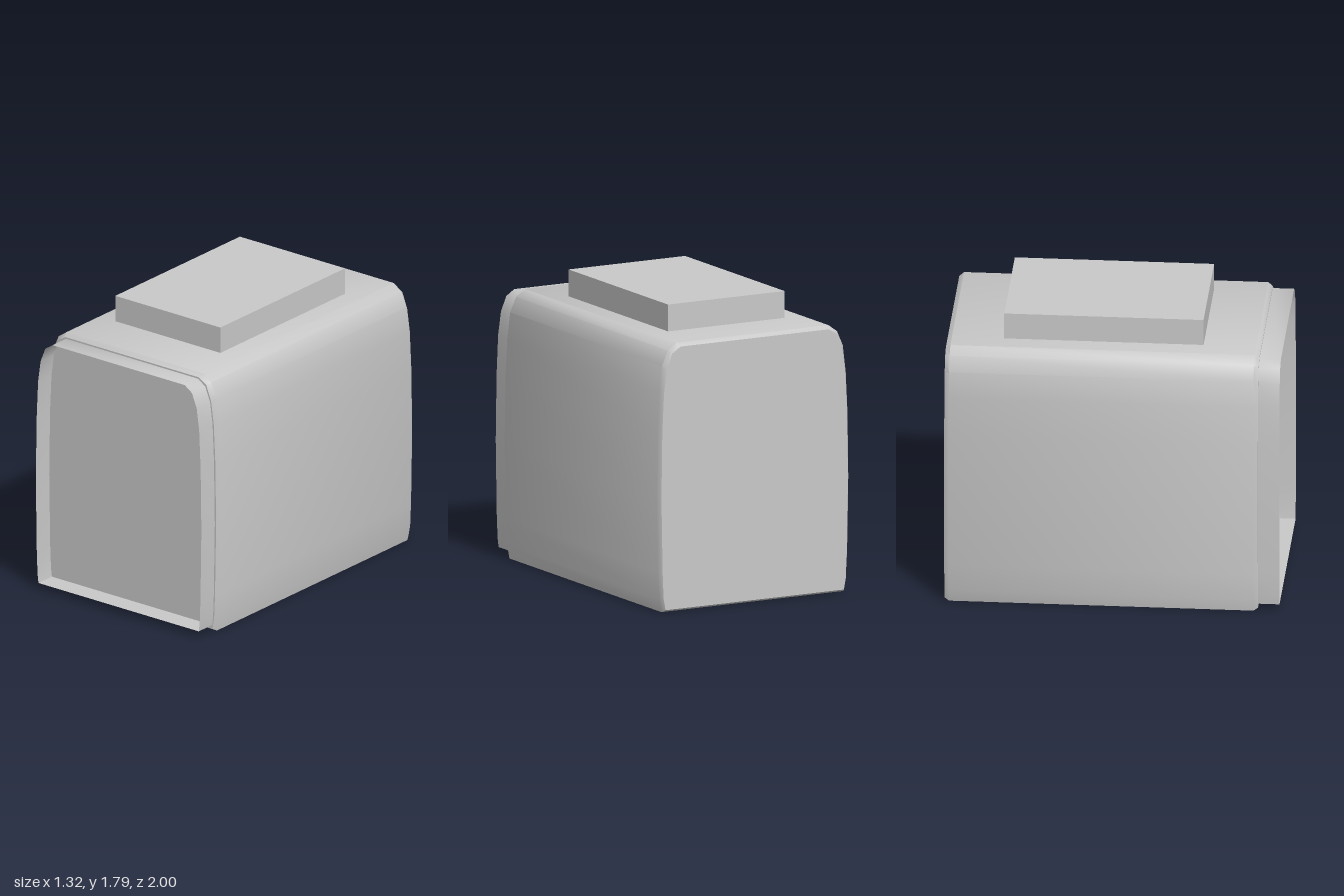
import * as THREE from 'three';
import { toCreasedNormals } from 'three/addons/utils/BufferGeometryUtils.js';

// Right half of each cross-section, from the bottom up: [x, y]
const OUTER = [[0.625, 0.005], [0.64, 0.085], [0.65, 0.25], [0.658, 0.7], [0.652, 1.1],
  [0.64, 1.34], [0.62, 1.5], [0.58, 1.59], [0.52, 1.632]];
const INSET = [[0.612, 0.02], [0.625, 0.09], [0.632, 0.25], [0.64, 0.7], [0.634, 1.1],
  [0.622, 1.34], [0.602, 1.48], [0.566, 1.575], [0.508, 1.612]];
const RIM = [[0.61, 0.045], [0.617, 0.1], [0.623, 0.25], [0.63, 0.7], [0.624, 1.1],
  [0.613, 1.34], [0.594, 1.475], [0.558, 1.565], [0.503, 1.602]];

// Closed outline, anticlockwise as seen from the front
const mirror = (half) => [...half, ...half.slice().reverse().map(([x, y]) => [-x, y])];

// Skin through sections [outline half, z], from back to front
function loft(sections) {
  const rings = sections.map(([half, z]) => mirror(half).map(([x, y]) => [x, y, z]));
  const pos = [];
  for (let s = 0; s < rings.length - 1; s++) {
    const n = rings[s].length;
    for (let i = 0; i < n; i++) {
      const j = (i + 1) % n;
      const a = rings[s][i], b = rings[s][j], c = rings[s + 1][j], d = rings[s + 1][i];
      pos.push(...a, ...b, ...c, ...a, ...c, ...d);
    }
  }
  const geo = new THREE.BufferGeometry();
  geo.setAttribute('position', new THREE.Float32BufferAttribute(pos, 3));
  return toCreasedNormals(geo, 0.68);
}

const plate = (half) =>
  new THREE.ShapeGeometry(new THREE.Shape(mirror(half).map(([x, y]) => new THREE.Vector2(x, y))));

export function createModel() {
  const group = new THREE.Group();
  const grey = new THREE.MeshStandardMaterial({ color: 0xc8c8c8, side: THREE.DoubleSide });
  grey.name = 'light grey';

  const add = (name, geo) => {
    const mesh = new THREE.Mesh(geo, grey);
    mesh.name = name;
    group.add(mesh);
    return mesh;
  };

  // Housing with chamfered ends
  add('housing', loft([[INSET, -1], [OUTER, -0.972], [OUTER, 0.845], [INSET, 0.872]]));
  add('backPanel', plate(INSET).rotateY(Math.PI).translate(0, 0, -1));
  add('frontPanel', plate(INSET).translate(0, 0, 0.872));

  // Thin open rim around the recessed front
  add('frontRim', loft([[RIM, 0.872], [RIM, 1]]));

  // Block on top
  add('topBlock', new THREE.BoxGeometry(0.8, 0.165, 1.19)).position.set(0, 1.7125, -0.065);

  return group;
}
